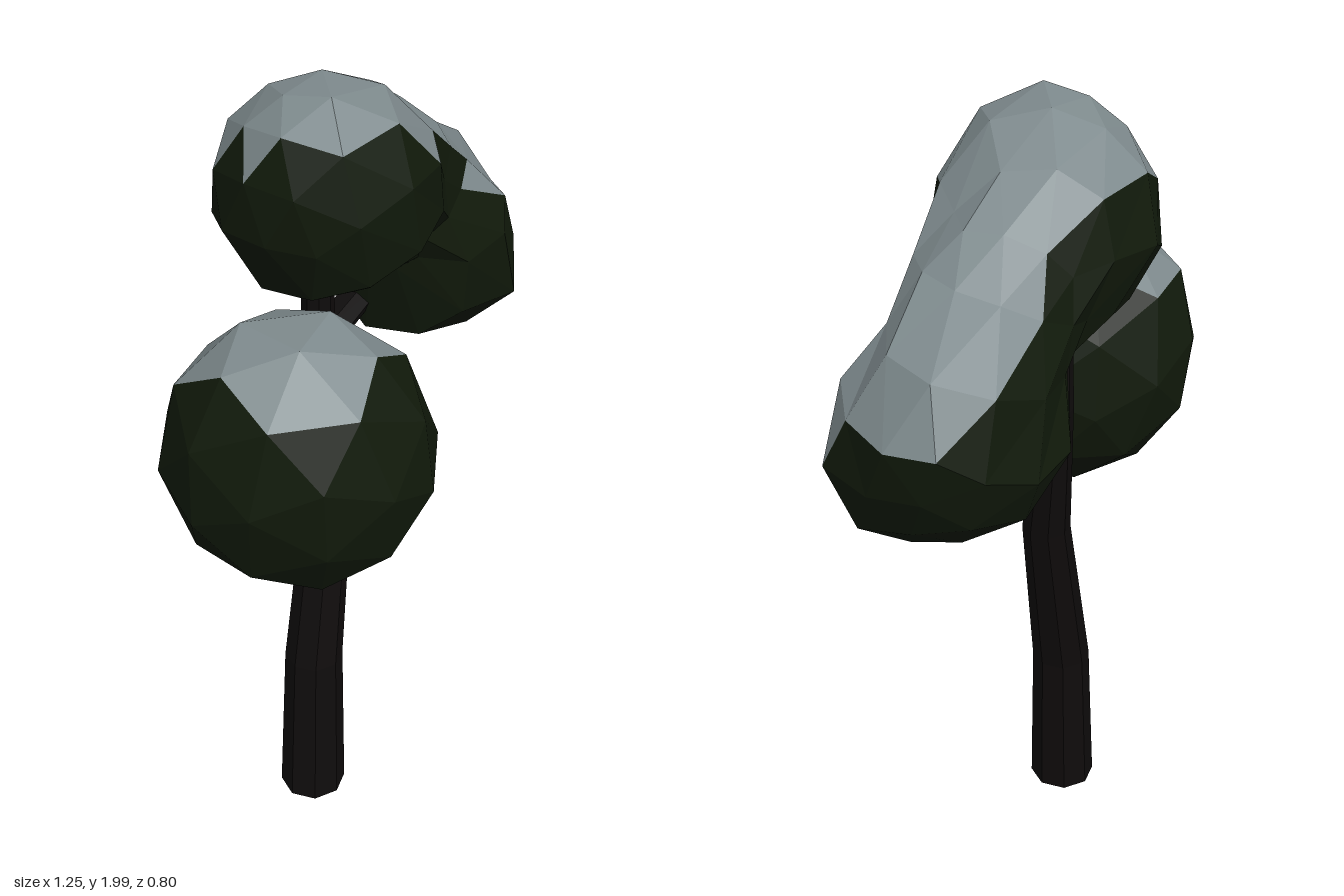
import * as THREE from 'three';

const V = (x, y, z) => new THREE.Vector3(x, y, z);
const mat = (color) => new THREE.MeshStandardMaterial({ color, flatShading: true, roughness: 1 });
const bark = mat(0x0f0c0c), leaf = mat(0x111a0b), snow = mat(0x7f8b8e);

// Distance to a rounded clump: a smooth blend of [x, y, z, radius] spheres
function clumpDistance(p, spheres, blend) {
  let d = 10;
  for (const [x, y, z, r] of spheres) {
    const s = Math.hypot(p.x - x, p.y - y, p.z - z) - r;
    const h = Math.max(blend - Math.abs(d - s), 0) / blend;
    d = Math.min(d, s) - h * h * blend / 4;
  }
  return d;
}

// Split a faceted shell into leaves and the snow lying on its upward facets
function foliage(name, geometry, isSnow) {
  const pos = geometry.attributes.position, parts = { leaves: [], snowCap: [] };
  const t = new THREE.Triangle(), n = V(), c = V();
  for (let i = 0; i < pos.count; i += 3) {
    t.setFromAttributeAndIndices(pos, i, i + 1, i + 2);
    t.getNormal(n);
    t.getMidpoint(c);
    const list = isSnow(n, c) ? parts.snowCap : parts.leaves;
    for (const v of [t.a, t.b, t.c]) list.push(v.x, v.y, v.z);
  }
  const group = new THREE.Group();
  group.name = name;
  for (const key in parts) {
    const g = new THREE.BufferGeometry();
    g.setAttribute('position', new THREE.Float32BufferAttribute(parts[key], 3));
    g.computeVertexNormals();
    const mesh = new THREE.Mesh(g, key === 'snowCap' ? snow : leaf);
    mesh.name = key;
    group.add(mesh);
  }
  return group;
}

function branch(name, from, to, r0, r1) {
  const dir = to.clone().sub(from);
  const mesh = new THREE.Mesh(new THREE.CylinderGeometry(r1, r0, dir.length(), 6), bark);
  mesh.position.copy(from).addScaledVector(dir, 0.5);
  mesh.quaternion.setFromUnitVectors(V(0, 1, 0), dir.normalize());
  mesh.name = name;
  return mesh;
}

export function createModel() {
  const tree = new THREE.Group();
  tree.name = 'snowyTree';

  // Trunk: a cylinder whose rows follow a bending spine of [x, y, z, radius]
  const spine = [
    [-0.173, 0, -0.015, 0.085], [-0.148, 0.43, -0.025, 0.074], [-0.055, 0.89, -0.05, 0.06],
    [0.002, 1.28, -0.125, 0.042], [-0.015, 1.6, -0.11, 0.034],
  ];
  const trunkGeo = new THREE.CylinderGeometry(1, 1, 4, 8, 4);
  const tp = trunkGeo.attributes.position;
  for (let i = 0; i < tp.count; i++) {
    const [x, y, z, r] = spine[Math.round(tp.getY(i) + 2)];
    tp.setXYZ(i, x + tp.getX(i) * r, y, z + tp.getZ(i) * r);
  }
  trunkGeo.computeVertexNormals();
  const trunk = new THREE.Mesh(trunkGeo, bark);
  trunk.name = 'trunk';
  tree.add(trunk);

  // Side branches
  tree.add(branch('lowerBranch', V(-0.05, 0.88, -0.05), V(-0.22, 1.0, 0.07), 0.048, 0.038));
  tree.add(branch('upperBranch', V(0, 1.27, -0.12), V(0.25, 1.35, -0.14), 0.045, 0.038));

  // Lower clump: a faceted ball, one face up, longer along one diagonal and leaning
  const ball = new THREE.IcosahedronGeometry(1, 1);
  ball.applyQuaternion(new THREE.Quaternion().setFromUnitVectors(V(1, 1, 1).normalize(), V(0, 1, 0)));
  ball.scale(0.315, 0.352, 0.275).rotateY(-Math.PI / 4);
  ball.applyMatrix4(new THREE.Matrix4().makeShear(0, 0, -0.06, 0, 0, 0.04));
  ball.translate(-0.332, 1.238, 0.11);
  tree.add(foliage('lowerFoliage', ball, (n) => n.y > 0.6));

  // Upper clump: two uneven lobes joined by a neck, found by marching inwards to the shell
  const lobes = [
    [-0.04, 1.715, -0.055, 0.264], [-0.095, 1.8, 0.005, 0.197],
    [0.195, 1.625, -0.115, 0.2],
    [0.362, 1.405, -0.148, 0.26], [0.44, 1.475, -0.2, 0.185], [0.45, 1.32, -0.07, 0.178],
  ];
  const middle = V(0.16, 1.58, -0.105);
  const axis = V(0.4, -0.325, -0.093).normalize();
  const crown = new THREE.IcosahedronGeometry(1, 2);
  const cp = crown.attributes.position, d = V(), p = V();
  for (let i = 0; i < cp.count; i++) {
    d.fromBufferAttribute(cp, i);
    d.addScaledVector(axis, d.dot(axis) * 0.7).normalize();
    let t = 0.8;
    for (let k = 0; k < 60; k++) {
      p.copy(middle).addScaledVector(d, t);
      t -= clumpDistance(p, lobes, 0.04) * 0.8;
    }
    cp.setXYZ(i, p.x, p.y, p.z);
  }
  // Snow leans outwards and back towards the outer lobe
  tree.add(foliage('upperFoliage', crown, (n, c) => {
    const lean = THREE.MathUtils.smoothstep(c.x, 0.1, 0.35);
    return n.y + lean * (0.4 * n.x - 0.1 * n.y - 0.12 * n.z) > 0.5;
  }));

  return tree;
}
